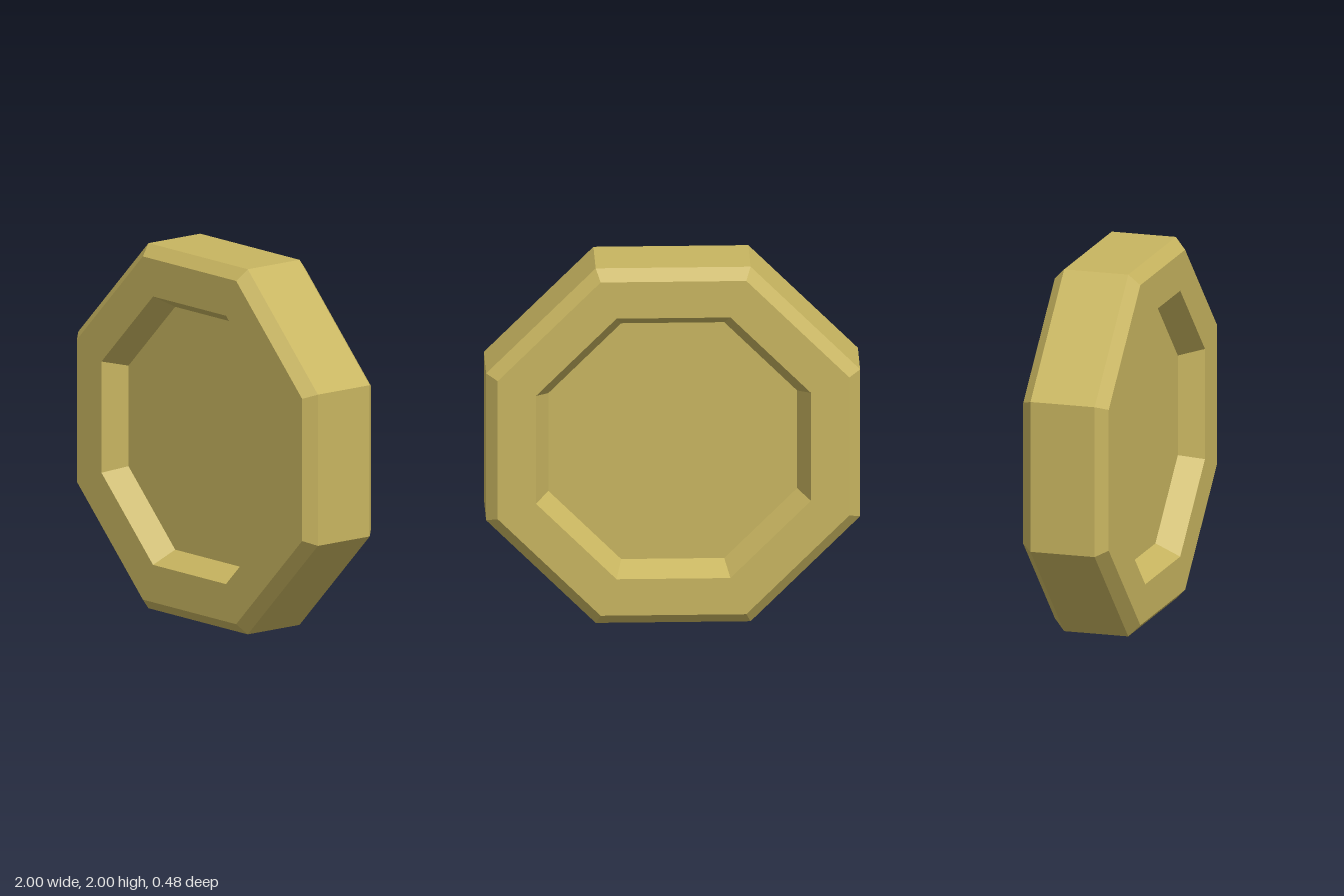
import * as THREE from 'three';

export function createModel() {
  const group = new THREE.Group();
  group.name = 'octagonalCoin';

  // Half profile as [distance to flat side, depth]; mirrored for the other face
  const half = [[0, 0.11], [0.665, 0.11], [0.735, 0.24], [0.94, 0.24], [1, 0.18]];
  const profile = [
    ...half.map(([r, d]) => [r, -d]),
    ...half.slice().reverse(),
  ].map(([r, d]) => new THREE.Vector2(r / Math.cos(Math.PI / 8), d));

  // Eight-sided body with bevelled rim and a recess on each face
  const geometry = new THREE.LatheGeometry(profile, 8, Math.PI / 8);
  geometry.rotateX(Math.PI / 2);
  geometry.translate(0, 1, 0);

  const material = new THREE.MeshStandardMaterial({ color: 0xc8b560, flatShading: true });
  const body = new THREE.Mesh(geometry, material);
  body.name = 'coinBody';
  group.add(body);
  return group;
}
